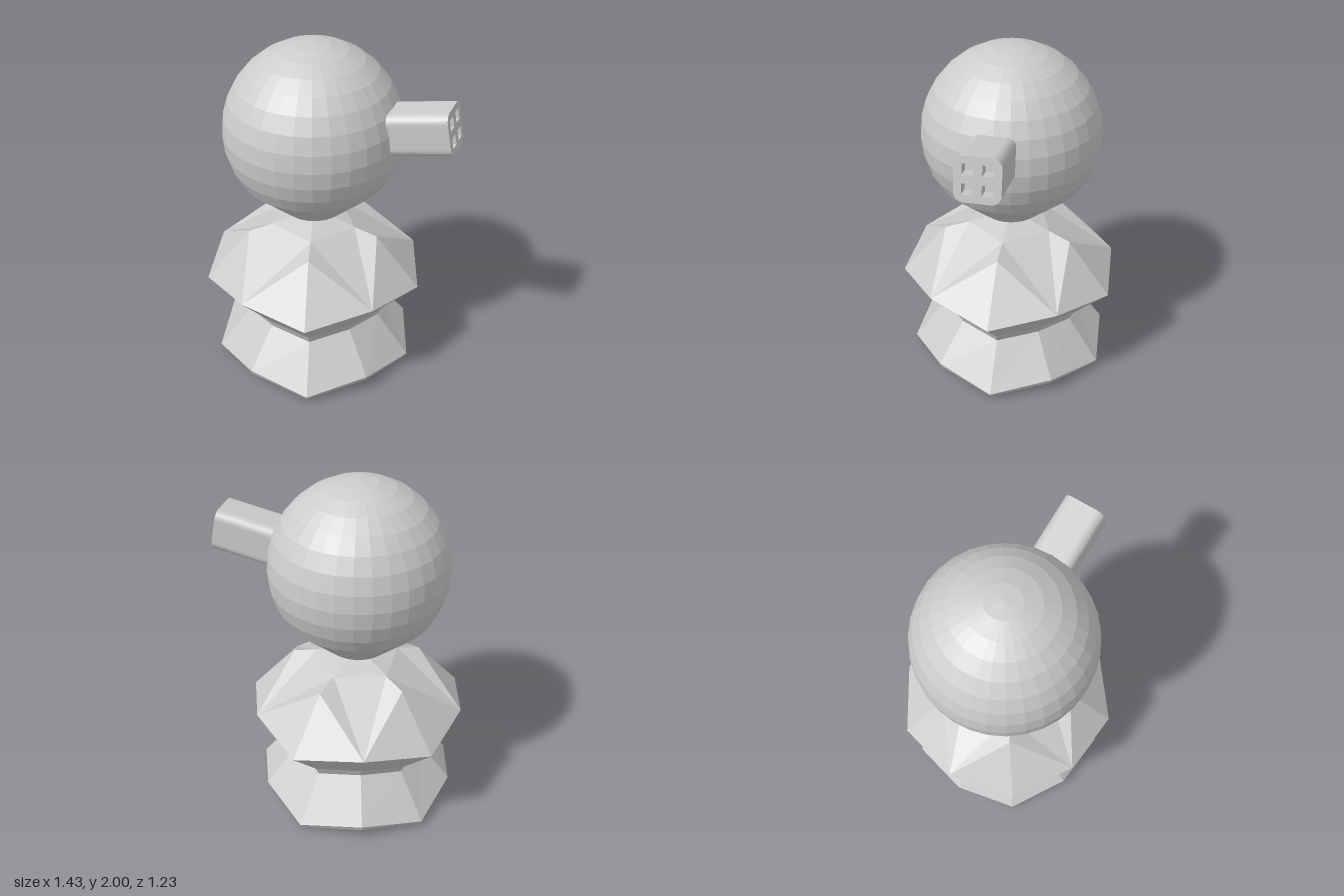
import * as THREE from 'three';

const CX = -0.1; // axis of head and body

const material = new THREE.MeshStandardMaterial({
  color: 0xcccccc, flatShading: true, side: THREE.DoubleSide,
});

function add(parent, name, geometry) {
  const mesh = new THREE.Mesh(geometry, material);
  mesh.name = name;
  parent.add(mesh);
  return mesh;
}

// Ten-sided ring whose corners alternate between two radii and heights
function ring([rEven, yEven, rOdd, yOdd]) {
  return Array.from({ length: 10 }, (_, i) => {
    const a = (i * Math.PI) / 5;
    const r = i % 2 ? rOdd : rEven;
    return [CX + r * Math.cos(a), i % 2 ? yOdd : yEven, r * Math.sin(a)];
  });
}

function bodyGeometry() {
  const positions = [];
  const tri = (a, b, c) => positions.push(...a, ...b, ...c);

  // From the hollow inside, round the hem, past the waist to the shoulders
  const rings = [
    [0.36, 0.27, 0.35, 0.3],
    [0.535, 0.005, 0.55, 0.055],
    [0.59, 0.02, 0.57, 0.075],
    [0.607, 0.05, 0.58, 0.105],
    [0.41, 0.305, 0.39, 0.335],
    [0.435, 0.36, 0.41, 0.385],
    [0.648, 0.585, 0.62, 0.64],
  ].map(ring);
  for (let k = 0; k + 1 < rings.length; k++) {
    const lo = rings[k], hi = rings[k + 1];
    for (let i = 0; i < 10; i++) {
      const j = (i + 1) % 10;
      tri(lo[j], lo[i], hi[i]);
      tri(lo[j], hi[i], hi[j]);
    }
  }

  // Ceiling of the hollow
  for (let i = 0; i < 10; i++) {
    tri(rings[0][i], [CX, 0.3, 0], rings[0][(i + 1) % 10]);
  }

  // Five raised shoulder panels with folds between, and a pointed cap
  const shoulder = rings[rings.length - 1];
  const upper = ring([0.387, 0.875, 0.387, 0.875]);
  const inner = ring([0.25, 0.905, 0.25, 0.905]);
  for (let e = 0; e < 10; e += 2) {
    const prev = shoulder[(e + 9) % 10], next = shoulder[e + 1];
    const nextInner = inner[(e + 2) % 10];
    tri(next, shoulder[e], upper[e]);
    tri(shoulder[e], prev, upper[e]);
    tri(next, upper[e], inner[e]);
    tri(prev, inner[e], upper[e]);
    tri(next, inner[e], nextInner);
    tri(nextInner, inner[e], [CX, 0.975, 0]);
  }

  const geometry = new THREE.BufferGeometry();
  geometry.setAttribute('position', new THREE.Float32BufferAttribute(positions, 3));
  geometry.computeVertexNormals();
  return geometry;
}

// Ball with a conical underside and a shallow hollow below
function headGeometry() {
  const points = [
    new THREE.Vector2(0, 1.07),
    new THREE.Vector2(0.1, 1.055),
    new THREE.Vector2(0.175, 1.0),
  ];
  for (let k = 5; k <= 16; k++) {
    const a = (k * Math.PI) / 16;
    points.push(new THREE.Vector2(0.5 * Math.sin(a), 1.5 - 0.5 * Math.cos(a)));
  }
  return new THREE.LatheGeometry(points, 32);
}

// Rounded square with four square sockets, extruded along z
function plugGeometry(depth) {
  const h = 0.118, r = 0.05;
  const shape = new THREE.Shape();
  shape.moveTo(-h + r, -h);
  shape.lineTo(h - r, -h);
  shape.absarc(h - r, -h + r, r, -Math.PI / 2, 0);
  shape.absarc(h - r, h - r, r, 0, Math.PI / 2);
  shape.absarc(-h + r, h - r, r, Math.PI / 2, Math.PI);
  shape.absarc(-h + r, -h + r, r, Math.PI, Math.PI * 1.5);
  for (const x of [-0.05, 0.05]) {
    for (const y of [-0.05, 0.05]) {
      const s = 0.028;
      shape.holes.push(new THREE.Path([
        new THREE.Vector2(x - s, y - s), new THREE.Vector2(x - s, y + s),
        new THREE.Vector2(x + s, y + s), new THREE.Vector2(x + s, y - s),
      ]));
    }
  }
  return new THREE.ExtrudeGeometry(shape, { depth, bevelEnabled: false, curveSegments: 4 });
}

export function createModel() {
  const model = new THREE.Group();
  model.name = 'figure';

  add(model, 'body', bodyGeometry());
  add(model, 'head', headGeometry()).position.x = CX;

  // Plug on the model's left side, tilted upward
  const plug = new THREE.Group();
  plug.name = 'plug';
  plug.position.set(0.337, 1.585, 0);
  plug.rotation.z = 0.2;
  const shell = add(plug, 'plugShell', plugGeometry(0.36));
  shell.rotation.y = Math.PI / 2;
  const floor = add(plug, 'socketFloor', new THREE.BoxGeometry(0.02, 0.18, 0.18));
  floor.position.x = 0.28;
  model.add(plug);

  return model;
}
